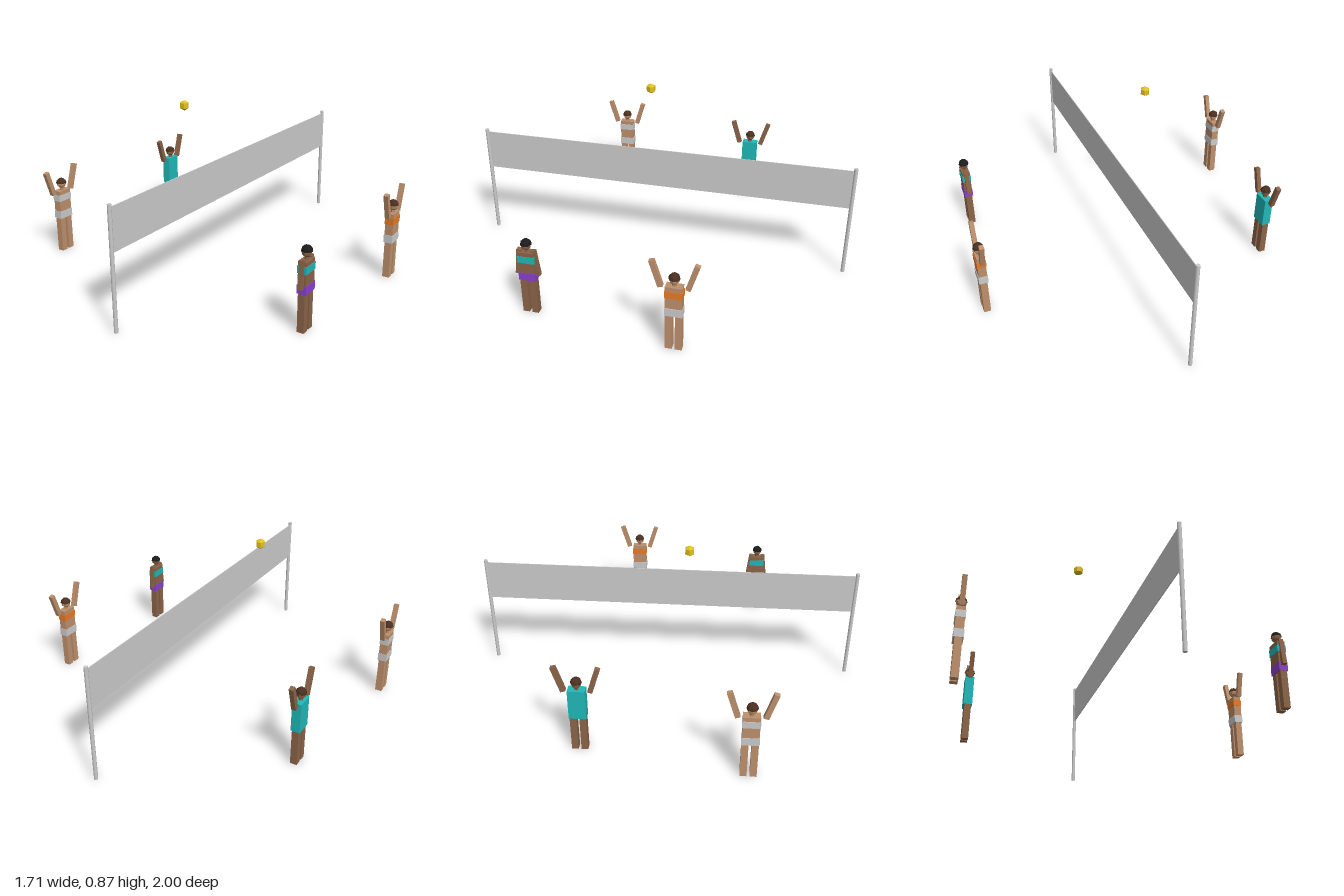
import * as THREE from 'three';

const GREY = 0xcccccc, TEAL = 0x20b8b8;
const mat = (color) => new THREE.MeshStandardMaterial({ color, flatShading: true });

function add(parent, name, geometry, material, x = 0, y = 0, z = 0) {
  const mesh = new THREE.Mesh(geometry, material);
  mesh.name = name;
  mesh.position.set(x, y, z);
  parent.add(mesh);
  return mesh;
}

const box = (w, h, d) => new THREE.BoxGeometry(w, h, d);

// One player, shoulders along z; garments are bands [name, color, bottom, top]
function player({ name, x, z, skin, hair, garments, armsUp = true }) {
  const g = new THREE.Group();
  g.name = name;
  g.position.set(x, 0, z);
  const skinMat = mat(skin);

  add(g, 'torso', box(0.042, 0.158, 0.08), skinMat, 0, 0.272, 0);
  add(g, 'neck', new THREE.CylinderGeometry(0.011, 0.011, 0.025, 6), skinMat, 0, 0.358, 0);
  add(g, 'head', new THREE.SphereGeometry(0.025, 8, 6), skinMat, 0, 0.386, 0);
  add(g, 'hair', new THREE.SphereGeometry(0.028, 8, 3, 0, Math.PI * 2, 0, Math.PI / 2), mat(hair), 0, 0.39, 0)
    .material.side = THREE.DoubleSide;

  for (const [part, color, bottom, top] of garments) {
    add(g, part, box(0.047, top - bottom, 0.085), mat(color), 0, (top + bottom) / 2, 0);
  }

  for (const side of [-1, 1]) {
    add(g, 'leg', box(0.035, 0.196, 0.033), skinMat, 0, 0.098, side * 0.0235);
    const arm = add(g, 'arm', box(0.023, 0.14, 0.025), skinMat,
      0, armsUp ? 0.407 : 0.29, side * (armsUp ? 0.084 : 0.042));
    arm.rotation.x = side * (armsUp ? 0.3 : -0.12);
  }
  return g;
}

export function createModel() {
  const model = new THREE.Group();
  model.name = 'beachVolleyballMatch';

  // Net and its two poles
  const grey = mat(GREY);
  add(model, 'net', box(0.004, 0.215, 1.98), grey, 0.035, 0.4975, 0);
  const poleMat = new THREE.MeshStandardMaterial({ color: GREY });
  for (const side of [-1, 1]) {
    add(model, 'pole', new THREE.CylinderGeometry(0.01, 0.01, 0.62, 10), poleMat, 0.035, 0.31, side * 0.99);
  }

  // Ball in flight
  add(model, 'ball', new THREE.SphereGeometry(0.028, 6, 3), mat(0xe0c020), -0.212, 0.844, 0.122);

  // Two pairs of players
  const light = 0xbe906c, dark = 0x8c6448, brown = 0x4a3020;
  const team = [
    { name: 'leftFrontPlayer', x: -0.83, z: 0.442, skin: light, hair: brown,
      garments: [['top', GREY, 0.293, 0.329], ['shorts', GREY, 0.193, 0.235]] },
    { name: 'leftBackPlayer', x: -0.706, z: -0.373, skin: dark, hair: brown,
      garments: [['shirt', TEAL, 0.264, 0.352], ['shorts', TEAL, 0.192, 0.264]] },
    { name: 'rightBackPlayer', x: 0.826, z: -0.248, skin: light, hair: brown,
      garments: [['top', 0xe87a28, 0.293, 0.329], ['shorts', GREY, 0.193, 0.235]] },
    { name: 'rightFrontPlayer', x: 0.726, z: 0.495, skin: dark, hair: 0x1c1c1c, armsUp: false,
      garments: [['top', TEAL, 0.293, 0.329], ['shorts', 0x8a40d0, 0.193, 0.235]] },
  ];
  for (const spec of team) model.add(player(spec));

  return model;
}
